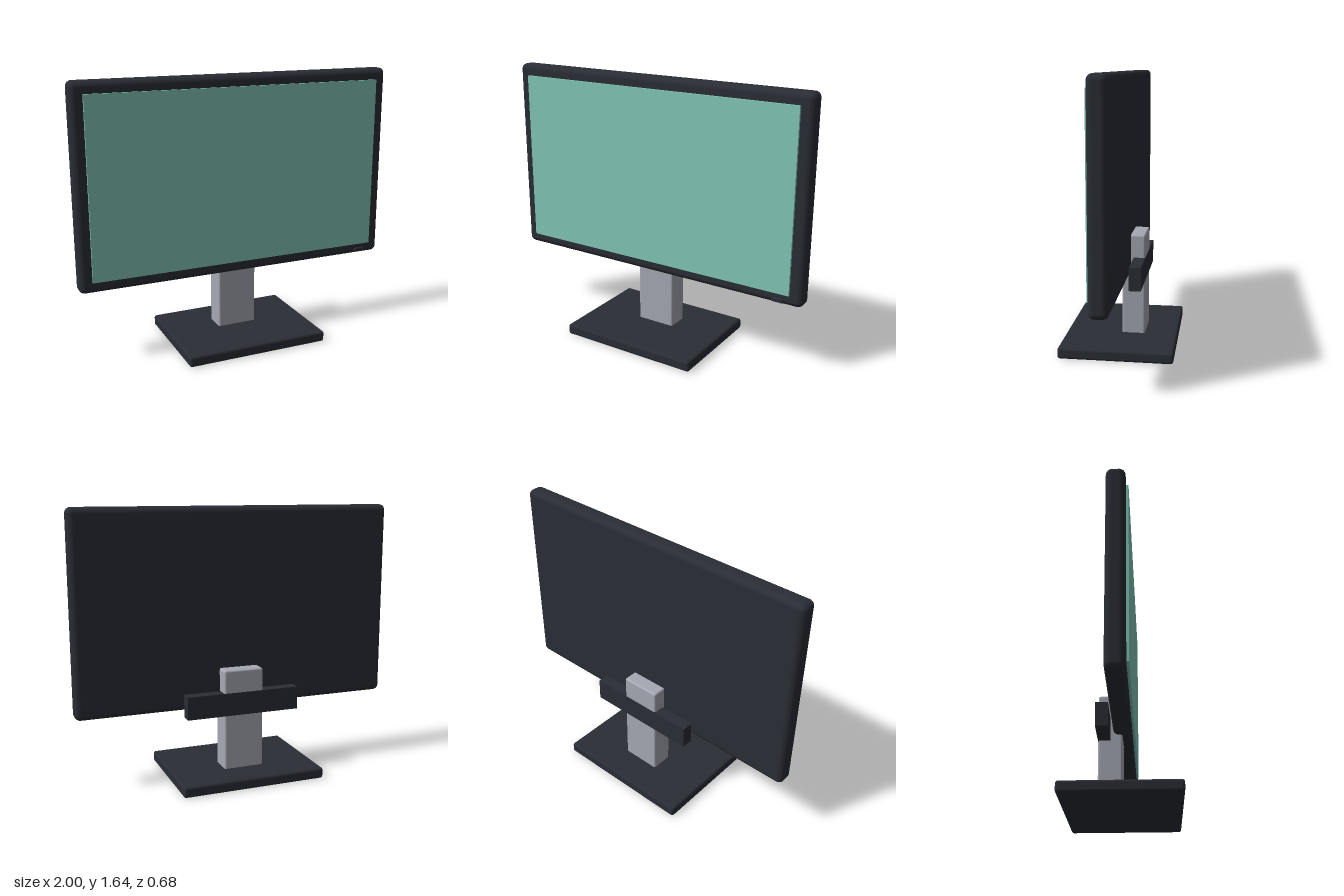
import * as THREE from 'three';
import { RoundedBoxGeometry } from 'three/addons/geometries/RoundedBoxGeometry.js';

const dark = new THREE.MeshStandardMaterial({ color: 0x2a2d35 });
const silver = new THREE.MeshStandardMaterial({ color: 0xa6a9b4 });
const glow = new THREE.MeshStandardMaterial({ color: 0x82c8b8 });

// Box given by its [min, max] extents on each axis; radius > 0 rounds the edges
function block(name, [x0, x1], [y0, y1], [z0, z1], material, radius = 0) {
  const size = [x1 - x0, y1 - y0, z1 - z0];
  const geometry = radius > 0
    ? new RoundedBoxGeometry(...size, 4, radius)
    : new THREE.BoxGeometry(...size);
  const mesh = new THREE.Mesh(geometry, material);
  mesh.name = name;
  mesh.position.set((x0 + x1) / 2, (y0 + y1) / 2, (z0 + z1) / 2);
  return mesh;
}

export function createModel() {
  const model = new THREE.Group();
  model.name = 'monitor';

  // Display: rounded housing, slightly raised screen, power button at lower left
  const display = new THREE.Group();
  display.name = 'display';
  display.add(
    block('housing', [-1, 1], [0.435, 1.645], [-0.054, 0.054], dark, 0.035),
    block('screen', [-0.925, 0.925], [0.505, 1.575], [0.03, 0.068], glow),
    block('powerButton', [0.82, 0.89], [0.45, 0.475], [0.03, 0.066], dark, 0.005),
  );

  // Stand: flat base, upright neck, cross bracket behind the housing
  const stand = new THREE.Group();
  stand.name = 'stand';
  stand.add(
    block('base', [-0.445, 0.445], [0, 0.066], [-0.338, 0.338], dark, 0.015),
    block('neck', [-0.124, 0.124], [0.04, 0.68], [-0.14, 0], silver, 0.012),
    block('bracket', [-0.356, 0.356], [0.4, 0.54], [-0.141, -0.07], dark),
  );

  model.add(display, stand);
  return model;
}
